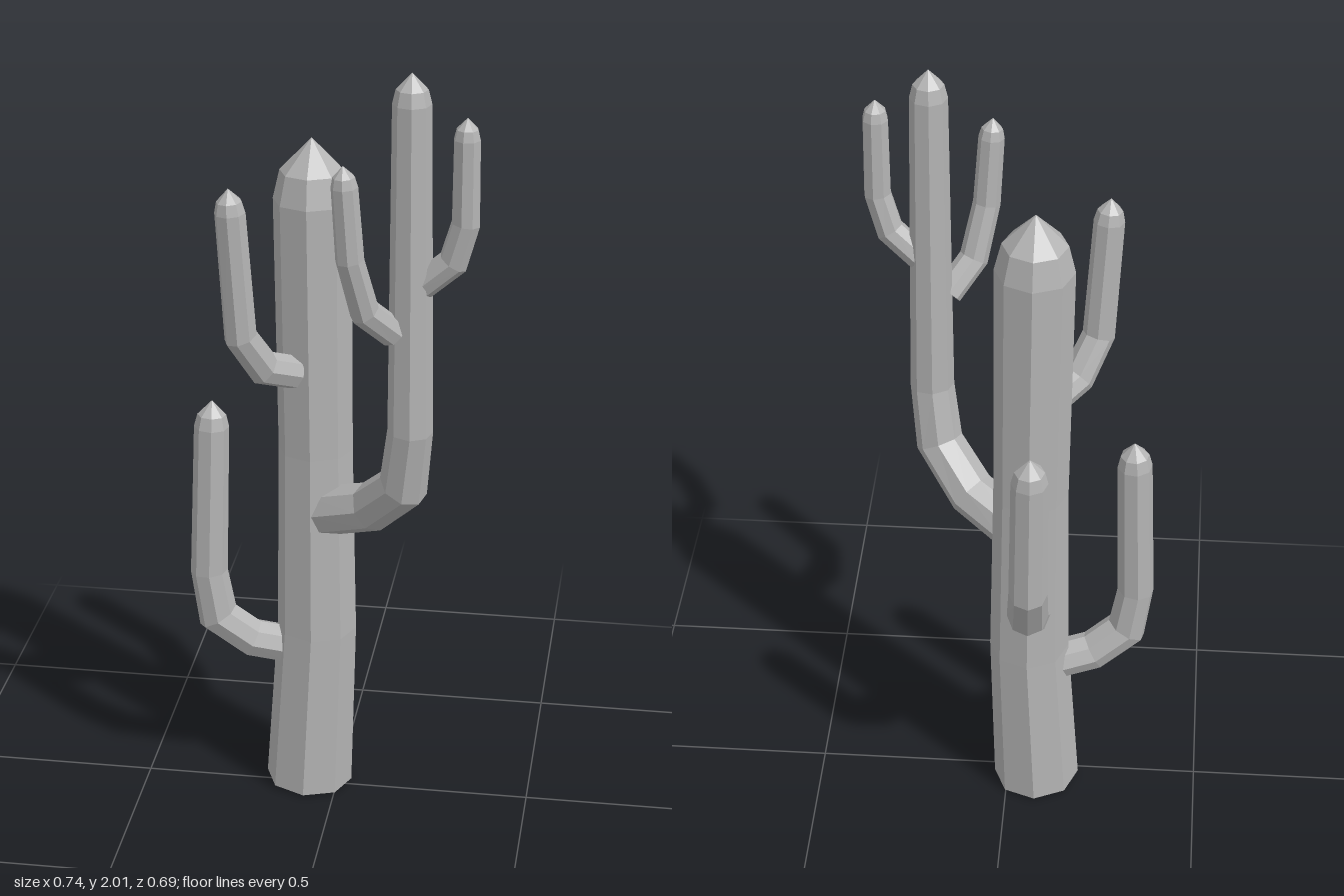
import * as THREE from 'three';

const SIDES = 8;

// Faceted limb: mitred octagonal rings along a path of [x, y, z, radius], ending in a pointed cap.
// The path's last point is the tip; it is expanded to shoulder, narrow ring and apex.
function limbGeometry(path, side) {
  const pts = path.map(([x, y, z]) => new THREE.Vector3(x, y, z));
  const radii = path.map(p => p[3]);
  const tip = pts.pop();
  const r = radii.pop();
  const dir = tip.clone().sub(pts[pts.length - 1]).normalize();
  pts.push(tip.clone().addScaledVector(dir, -1.6 * r), tip.clone().addScaledVector(dir, -0.85 * r));
  radii.push(r, r * 0.82);

  const rings = pts.map((c, i) => {
    const next = (pts[i + 1] || tip).clone().sub(c).normalize();
    const prev = i ? c.clone().sub(pts[i - 1]).normalize() : next;
    const t = next.clone().add(prev).normalize();
    const s = side.clone().addScaledVector(t, -side.dot(t)).normalize();
    const up = t.clone().cross(s);
    const mitre = 1 / t.dot(next);
    return Array.from({ length: SIDES }, (_, j) => {
      const a = (j / SIDES) * Math.PI * 2;
      return c.clone()
        .addScaledVector(s, Math.cos(a) * radii[i])
        .addScaledVector(up, Math.sin(a) * radii[i] * mitre);
    });
  });

  const tris = [];
  const last = rings[rings.length - 1];
  for (let j = 0; j < SIDES; j++) {
    const k = (j + 1) % SIDES;
    tris.push(rings[0][k], rings[0][j], pts[0]);
    for (let i = 0; i + 1 < rings.length; i++) {
      const [a, b, c, d] = [rings[i][j], rings[i][k], rings[i + 1][k], rings[i + 1][j]];
      tris.push(a, b, c, a, c, d);
    }
    tris.push(last[j], last[k], tip);
  }
  const geometry = new THREE.BufferGeometry().setFromPoints(tris);
  geometry.computeVertexNormals();
  return geometry;
}

export function createModel() {
  const group = new THREE.Group();
  group.name = 'cactus';
  const grey = new THREE.MeshStandardMaterial({ color: 0xb4b4b4, flatShading: true });
  grey.name = 'plain grey';

  const add = (name, path) => {
    // Horizontal normal of the plane the arm bends in
    const [a, b] = [path[0], path[path.length - 1]];
    const side = name === 'trunk'
      ? new THREE.Vector3(1, 0, 0)
      : new THREE.Vector3(b[2] - a[2], 0, a[0] - b[0]).normalize();
    const mesh = new THREE.Mesh(limbGeometry(path, side), grey);
    mesh.name = name;
    group.add(mesh);
  };

  add('trunk', [
    [-0.077, 0, -0.028, 0.112], [-0.056, 0.45, -0.028, 0.102],
    [-0.058, 0.95, -0.03, 0.094], [-0.066, 1.76, -0.033, 0.097],
  ]);

  // Arms growing from the trunk
  add('lowRightArm', [
    [-0.12, 0.39, -0.02, 0.05], [-0.22, 0.413, 0.0, 0.05],
    [-0.306, 0.482, 0.017, 0.05], [-0.326, 0.61, 0.02, 0.047], [-0.312, 1.08, 0.013, 0.044],
  ]);
  add('highRightArm', [
    [-0.1, 1.18, 0.04, 0.042], [-0.165, 1.213, 0.1, 0.042],
    [-0.212, 1.31, 0.148, 0.04], [-0.234, 1.69, 0.165, 0.038],
  ]);
  add('backArm', [
    [-0.06, 0.61, -0.1, 0.054], [-0.062, 0.69, -0.2, 0.052],
    [-0.068, 0.83, -0.284, 0.048], [-0.072, 1.255, -0.305, 0.045],
  ]);
  add('largeFrontArm', [
    [-0.025, 0.795, 0.01, 0.064], [0.1, 0.85, 0.085, 0.062],
    [0.188, 0.95, 0.165, 0.059], [0.206, 1.11, 0.19, 0.055], [0.202, 2.0, 0.2, 0.046],
  ]);

  // Twigs growing from the large arm
  add('frontTwig', [
    [0.165, 1.37, 0.215, 0.036], [0.105, 1.44, 0.27, 0.036],
    [0.075, 1.58, 0.305, 0.034], [0.06, 1.81, 0.316, 0.032],
  ]);
  add('sideTwig', [
    [0.23, 1.485, 0.195, 0.035], [0.304, 1.552, 0.207, 0.035],
    [0.332, 1.65, 0.214, 0.034], [0.332, 1.905, 0.217, 0.032],
  ]);

  return group;
}
